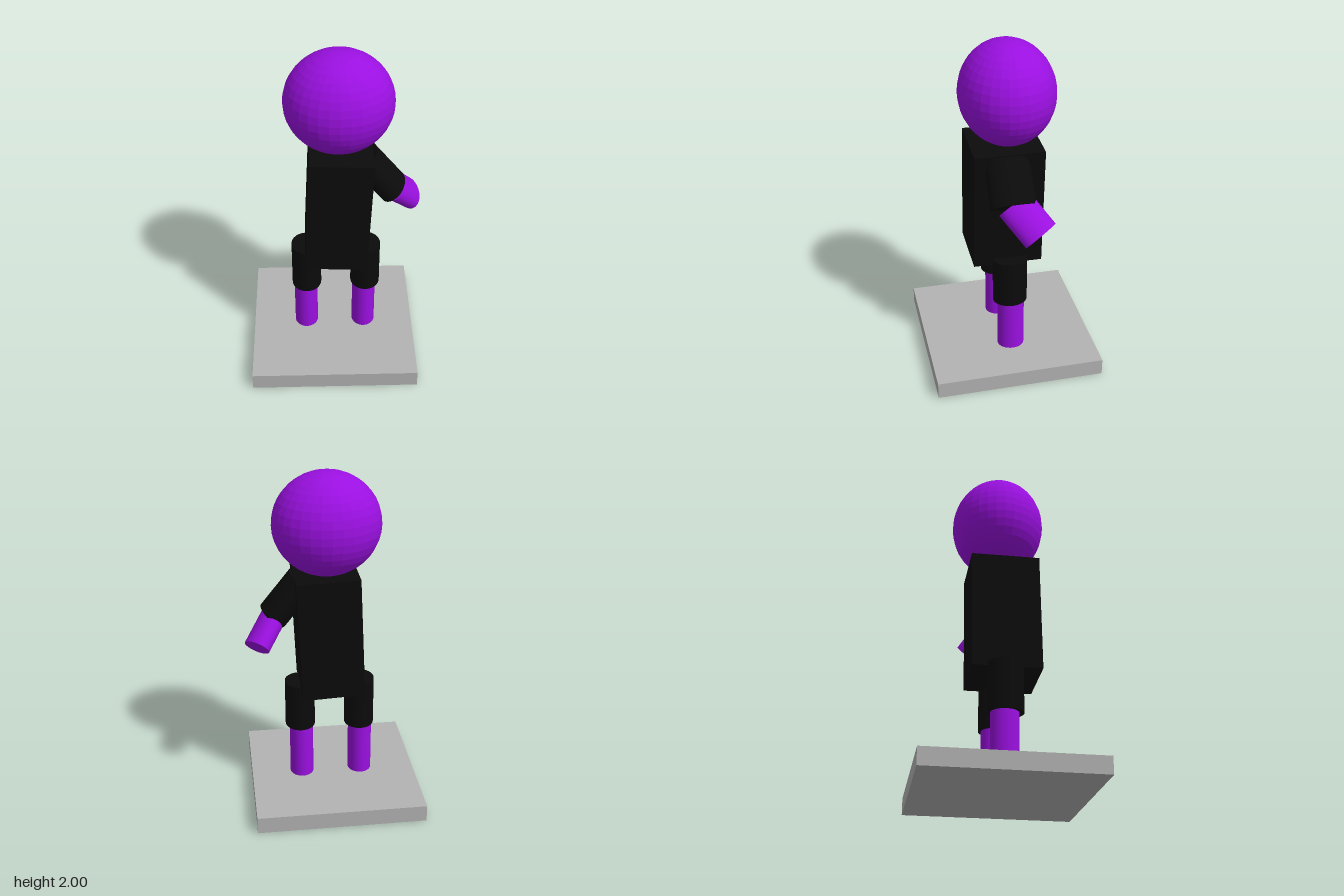
import * as THREE from 'three';

export function createModel() {
  const group = new THREE.Group();
  const mat = (name, color, extra = {}) => new THREE.MeshStandardMaterial({ name, color, ...extra });
  const purple = mat('purple skin', 0x9a10e0);
  const purpleFacets = purple.clone();
  purpleFacets.flatShading = true;
  const black = mat('black cloth', 0x0b0b0b);
  const grey = mat('grey base', 0xb3b3b3);

  const add = (name, geometry, material, x = 0, y = 0, z = 0) => {
    const mesh = new THREE.Mesh(geometry, material);
    mesh.name = name;
    mesh.position.set(x, y, z);
    group.add(mesh);
    return mesh;
  };

  // Oval cylinder between two points; rz is the radius nearest the z direction
  const limb = (name, from, to, rx, rz, material) => {
    const a = new THREE.Vector3(...from), b = new THREE.Vector3(...to);
    const up = a.clone().sub(b);
    const mesh = add(name, new THREE.CylinderGeometry(1, 1, 1, 32), material);
    mesh.position.copy(a).add(b).multiplyScalar(0.5);
    mesh.scale.set(rx, up.length(), rz);
    up.normalize();
    const side = new THREE.Vector3().crossVectors(up, new THREE.Vector3(0, 0, 1)).normalize();
    const depth = new THREE.Vector3().crossVectors(side, up);
    mesh.quaternion.setFromRotationMatrix(new THREE.Matrix4().makeBasis(side, up, depth));
  };

  // Square stand
  add('base', new THREE.BoxGeometry(0.995, 0.1, 1), grey, -0.007, 0.05, 0);

  // Legs: bare shins below short trouser legs
  for (const [label, x, knee] of [['right', -0.172, 0.422], ['left', 0.186, 0.432]]) {
    limb(label + 'Shin', [x - 0.003, knee + 0.03, -0.004], [x - 0.003, 0.1, -0.004], 0.071, 0.08, purple);
    limb(label + 'Thigh', [x + 0.003, 0.72, 0.003], [x + 0.003, knee, 0.003], 0.089, 0.102, black);
  }

  // Slightly leaning torso
  const torso = add('torso', new THREE.BoxGeometry(0.365, 0.725, 0.404), black, 0.021, 1.051, 0.012);
  torso.rotation.set(-0.007, 0, -0.045);

  // Single left arm, bent back at the elbow
  limb('leftSleeve', [0.17, 1.353, 0.02], [0.338, 1.145, 0.018], 0.089, 0.13, black);
  limb('leftForearm', [0.325, 1.16, 0.012], [0.442, 1.005, -0.112], 0.071, 0.108, purple);

  // Faceted oval head
  const head = add('head', new THREE.SphereGeometry(1, 32, 20), purpleFacets, 0.027, 1.7, -0.014);
  head.scale.set(0.311, 0.3, 0.275);

  return group;
}
